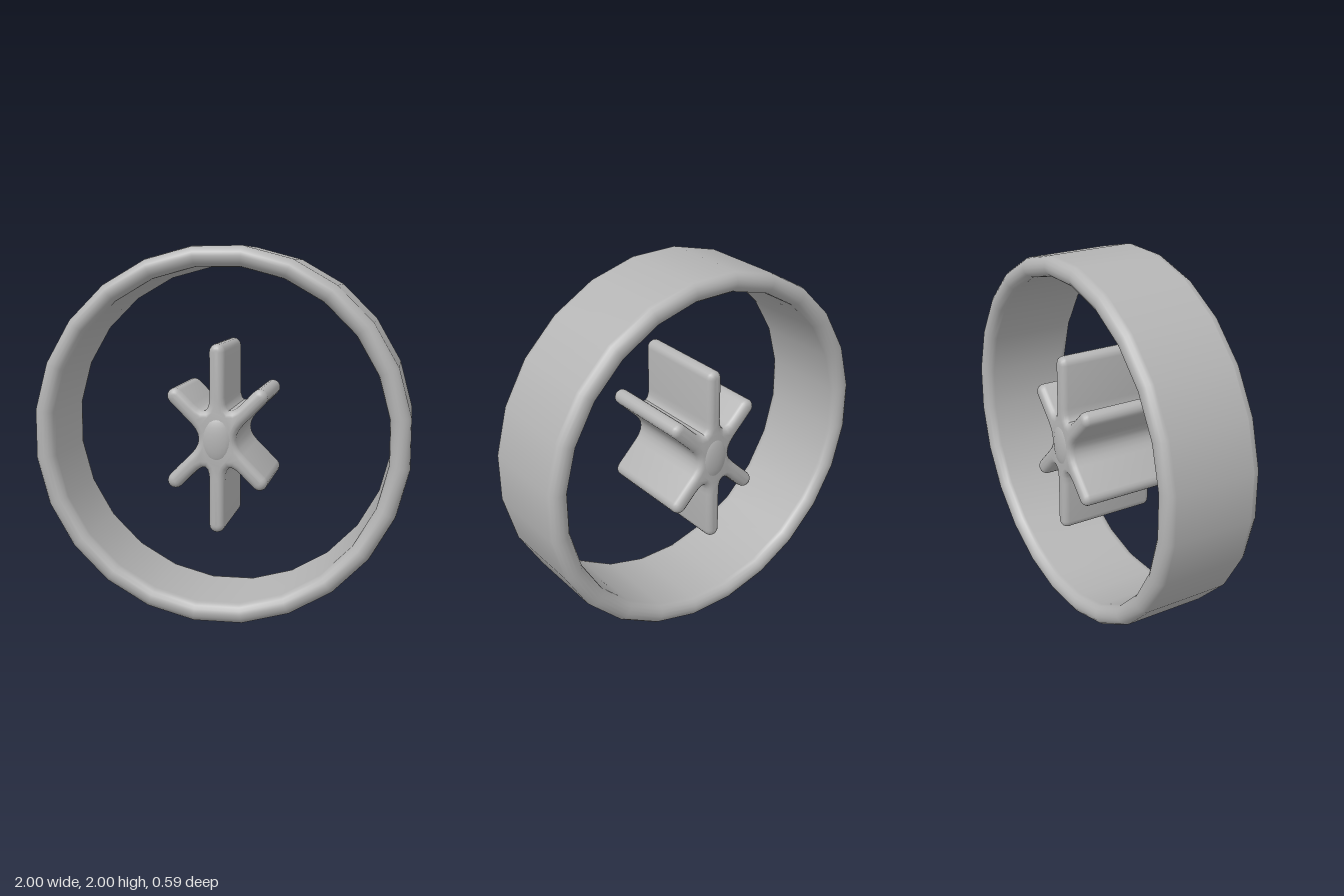
import * as THREE from 'three';
import { toCreasedNormals } from 'three/addons/utils/BufferGeometryUtils.js';

const SIDES = 24;
const HALF_DEPTH = 0.28;
const ARM = 0.042; // half thickness of a blade

// Ring band: a long slot-shaped section turned around the z axis
function ringGeometry() {
  const r = 0.054, mid = 1 - r, k = 1 / Math.cos(Math.PI / SIDES);
  const pts = [];
  for (const end of [0, 1]) {
    for (let i = 0; i <= 8; i++) {
      const a = Math.PI * (end + i / 8);
      const z = (end ? -1 : 1) * (HALF_DEPTH - r);
      pts.push(new THREE.Vector2((mid + r * Math.cos(a)) * k, z + r * Math.sin(a)));
    }
  }
  pts.push(pts[0].clone());
  const geo = new THREE.LatheGeometry(pts, SIDES, Math.PI / SIDES);
  geo.rotateX(Math.PI / 2);
  return geo;
}

// Six-armed outline with round tips and filleted valleys
function starShape() {
  const arms = [[45, 0.36], [90, 0.5], [135, 0.36], [225, 0.36], [270, 0.5], [315, 0.36]];
  const at = (deg, along, side) => {
    const a = THREE.MathUtils.degToRad(deg);
    return new THREE.Vector2(
      along * Math.cos(a) - side * Math.sin(a),
      along * Math.sin(a) + side * Math.cos(a));
  };
  const pts = [];
  arms.forEach(([deg, length], i) => {
    for (let j = 0; j <= 8; j++) {
      const t = -Math.PI / 2 + Math.PI * j / 8;
      pts.push(at(deg, length - ARM + ARM * Math.cos(t), ARM * Math.sin(t)));
    }
    const next = arms[(i + 1) % arms.length][0];
    const gap = (next - deg + 360) % 360;
    const start = gap > 60 ? 0.155 : 0.22;
    const corner = ARM / Math.tan(THREE.MathUtils.degToRad(gap / 2));
    const fillet = new THREE.QuadraticBezierCurve(
      at(deg, start, ARM), at(deg, corner, ARM), at(next, start, -ARM));
    pts.push(...fillet.getPoints(6));
  });
  return new THREE.Shape(pts);
}

export function createModel() {
  const model = new THREE.Group();
  const grey = new THREE.MeshStandardMaterial({ color: 0xb4b4b4 });
  grey.name = 'plain grey';
  const add = (name, geo) => {
    const mesh = new THREE.Mesh(geo, grey);
    mesh.name = name;
    mesh.position.y = 1;
    model.add(mesh);
    return mesh;
  };

  add('outerRing', ringGeometry());

  // Bladed hub floating in the middle of the ring
  const bevel = 0.034;
  const star = new THREE.ExtrudeGeometry(starShape(), {
    depth: 2 * (HALF_DEPTH - bevel), bevelEnabled: true, bevelSize: bevel,
    bevelThickness: bevel, bevelOffset: -bevel, bevelSegments: 4,
  });
  star.translate(0, 0, -(HALF_DEPTH - bevel));
  add('starHub', toCreasedNormals(star, 0.7));

  // Shallow swelling at the centre of each hub face
  for (const side of [-1, 1]) {
    const boss = add(side > 0 ? 'frontBoss' : 'backBoss', new THREE.SphereGeometry(1, 20, 12));
    boss.scale.set(0.085, 0.13, 0.035);
    boss.position.z = side * 0.26;
  }
  return model;
}
